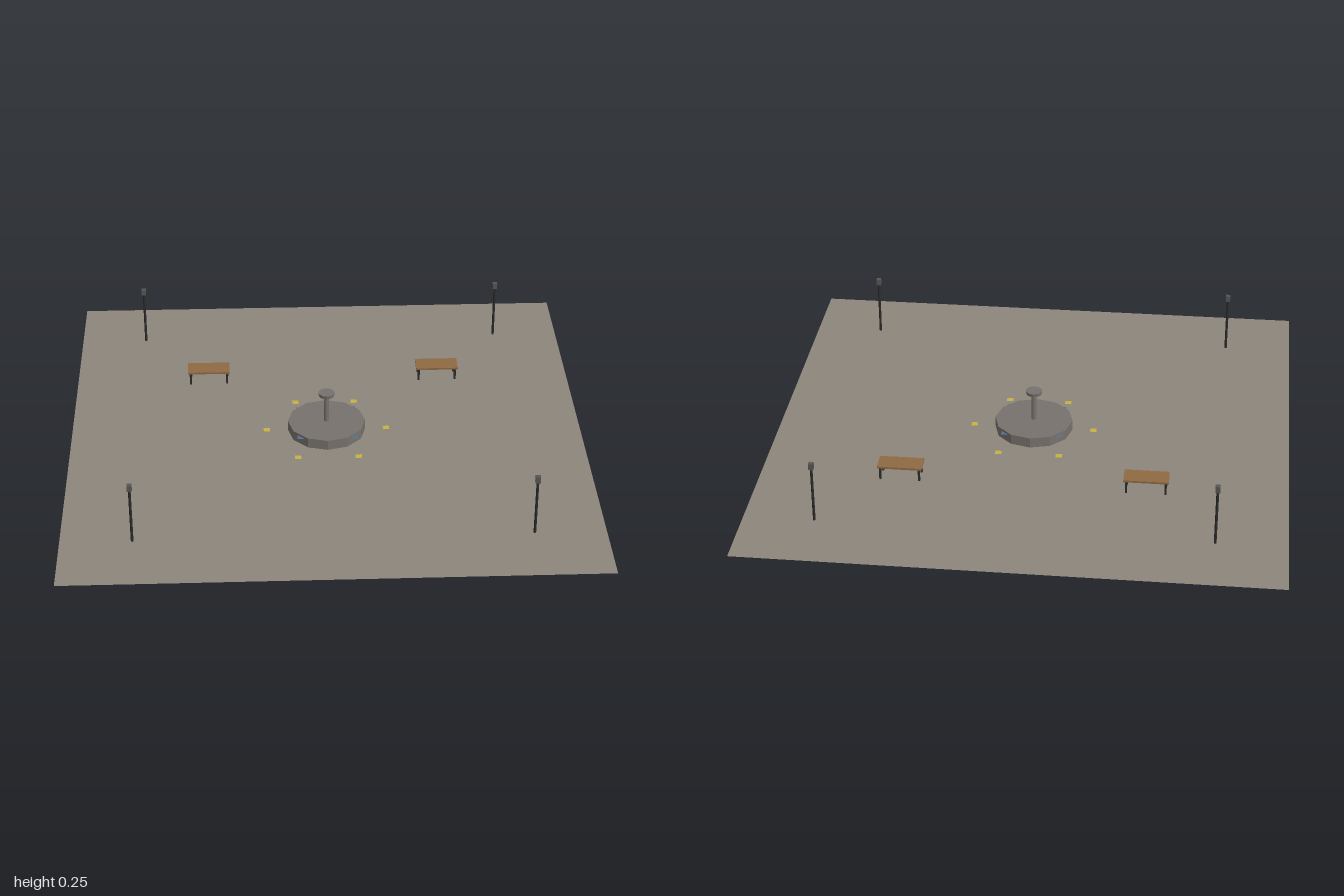
import * as THREE from 'three';

const mat = (color, extra = {}) => new THREE.MeshStandardMaterial({ color, ...extra });

export function createModel() {
  const root = new THREE.Group();
  root.name = 'plaza';

  const paving = mat(0x8c867c, { side: THREE.DoubleSide });
  const stone = mat(0x77716c, { flatShading: true });
  const water = mat(0x4f7396, { side: THREE.DoubleSide });
  const iron = mat(0x2b2b2b);
  const lantern = mat(0x555555);
  const wood = mat(0x8f6a43);
  const petal = mat(0xc8b040, { side: THREE.DoubleSide });

  const add = (parent, name, geometry, material, x = 0, y = 0, z = 0) => {
    const mesh = new THREE.Mesh(geometry, material);
    mesh.name = name;
    mesh.position.set(x, y, z);
    parent.add(mesh);
    return mesh;
  };
  const group = (name, x = 0, z = 0) => {
    const g = new THREE.Group();
    g.name = name;
    g.position.set(x, 0, z);
    root.add(g);
    return g;
  };
  const flat = (w, d) => new THREE.PlaneGeometry(w, d).rotateX(-Math.PI / 2);
  const box = (w, h, d) => new THREE.BoxGeometry(w, h, d);

  // Paved square
  add(root, 'ground', flat(2, 2), paving);

  // Fountain: basin, square water sheet, column and upper bowl
  const fountain = group('fountain');
  add(fountain, 'basin', new THREE.CylinderGeometry(0.152, 0.152, 0.041, 12), stone, 0, 0.0215);
  add(fountain, 'water', flat(0.235, 0.235), water, 0, 0.032);
  add(fountain, 'column', new THREE.CylinderGeometry(0.01, 0.01, 0.115, 8), stone, 0, 0.0985);
  add(fountain, 'bowl', new THREE.CylinderGeometry(0.032, 0.03, 0.014, 12), stone, 0, 0.163);

  // Ring of flower patches
  for (let i = 0; i < 6; i++) {
    const a = (i * Math.PI) / 3;
    add(root, 'flowerPatch', flat(0.025, 0.025), petal,
      0.235 * Math.cos(a), 0.003, 0.235 * Math.sin(a));
  }

  // Benches under flat canopies
  for (const side of [-1, 1]) {
    const bench = group(side > 0 ? 'leftBench' : 'rightBench', side * 0.466, -0.4);
    add(bench, 'seat', box(0.17, 0.008, 0.078), wood, 0, 0.053);
    add(bench, 'canopy', flat(0.2, 0.104), paving, 0, 0.15);
    for (const x of [-0.074, 0.074]) {
      for (const z of [-0.031, 0.031]) {
        add(bench, 'leg', box(0.008, 0.05, 0.008), iron, x, 0.025, z);
      }
    }
  }

  // Corner lamps
  for (const x of [-0.735, 0.735]) {
    for (const z of [-0.735, 0.735]) {
      const lamp = group('lamp', x, z);
      add(lamp, 'post', new THREE.CylinderGeometry(0.005, 0.005, 0.22, 8), iron, 0, 0.11);
      add(lamp, 'lantern', box(0.018, 0.025, 0.018), lantern, 0, 0.2325);
    }
  }
  return root;
}
